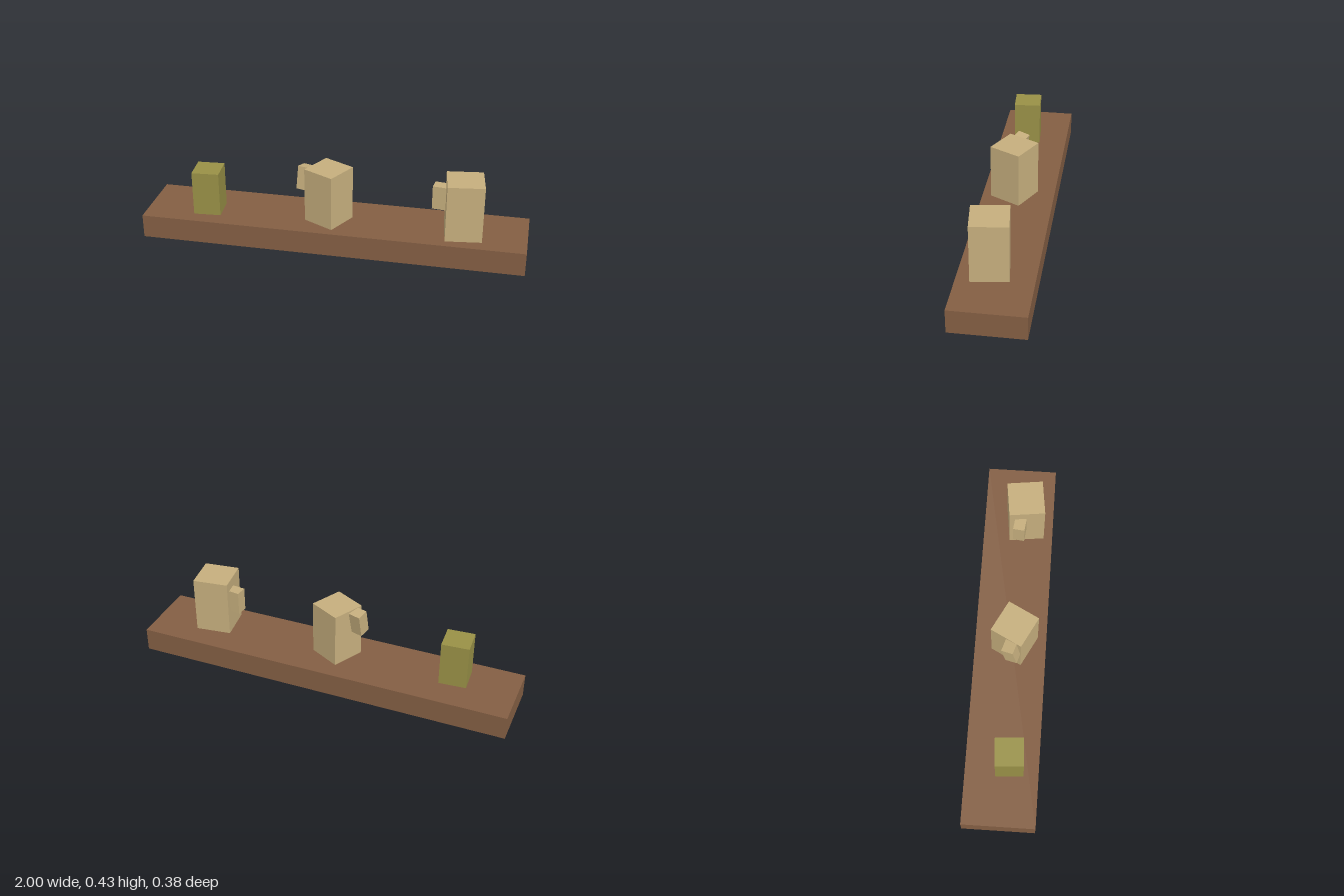
import * as THREE from 'three';

const material = (name, color, side = THREE.FrontSide) => {
  const m = new THREE.MeshStandardMaterial({ color, side });
  m.name = name;
  return m;
};

export function createModel() {
  const wood = material('brown wood', 0x835e43, THREE.DoubleSide);
  const clay = material('tan clay', 0xc5ae7d);
  const olive = material('olive green', 0x989046);

  const model = new THREE.Group();
  model.name = 'shelfWithMugs';

  const shelfTop = 0.125;

  // Shelf: thin-walled box, open underneath (the -y face is dropped)
  const shelfGeometry = new THREE.BoxGeometry(2, shelfTop, 0.375);
  const index = Array.from(shelfGeometry.index.array);
  index.splice(18, 6);
  shelfGeometry.setIndex(index);
  shelfGeometry.clearGroups();
  const shelf = new THREE.Mesh(shelfGeometry, wood);
  shelf.name = 'shelf';
  shelf.position.y = shelfTop / 2;
  model.add(shelf);

  // Adds a box centred on a position, turned about y and tilted about x
  const addBox = (name, mat, size, position, turn, tilt = 0) => {
    const mesh = new THREE.Mesh(new THREE.BoxGeometry(...size), mat);
    mesh.name = name;
    mesh.position.set(...position);
    mesh.rotation.set(tilt, turn, 0, 'YXZ');
    model.add(mesh);
  };

  // Things standing on the shelf: square footprint, height, turn
  const standing = [
    ['oliveCanister', olive, -0.673, 0.036, 0.142, 0.237, 0.065],
    ['middleMugBody', clay, -0.031, 0.022, 0.177, 0.292, -0.48],
    ['endMugBody', clay, 0.67, 0.036, 0.187, 0.302, 0.125],
  ];
  for (const [name, mat, x, z, side, height, turn] of standing) {
    addBox(name, mat, [side, height, side], [x, shelfTop + height / 2, z], turn);
  }

  // Mug handles; the middle one leans back
  addBox('middleMugHandle', clay, [0.07, 0.122, 0.062], [-0.152, 0.35, 0.012], -0.3, -0.18);
  addBox('endMugHandle', clay, [0.07, 0.125, 0.06], [0.545, 0.3125, 0.011], -0.12);

  return model;
}
